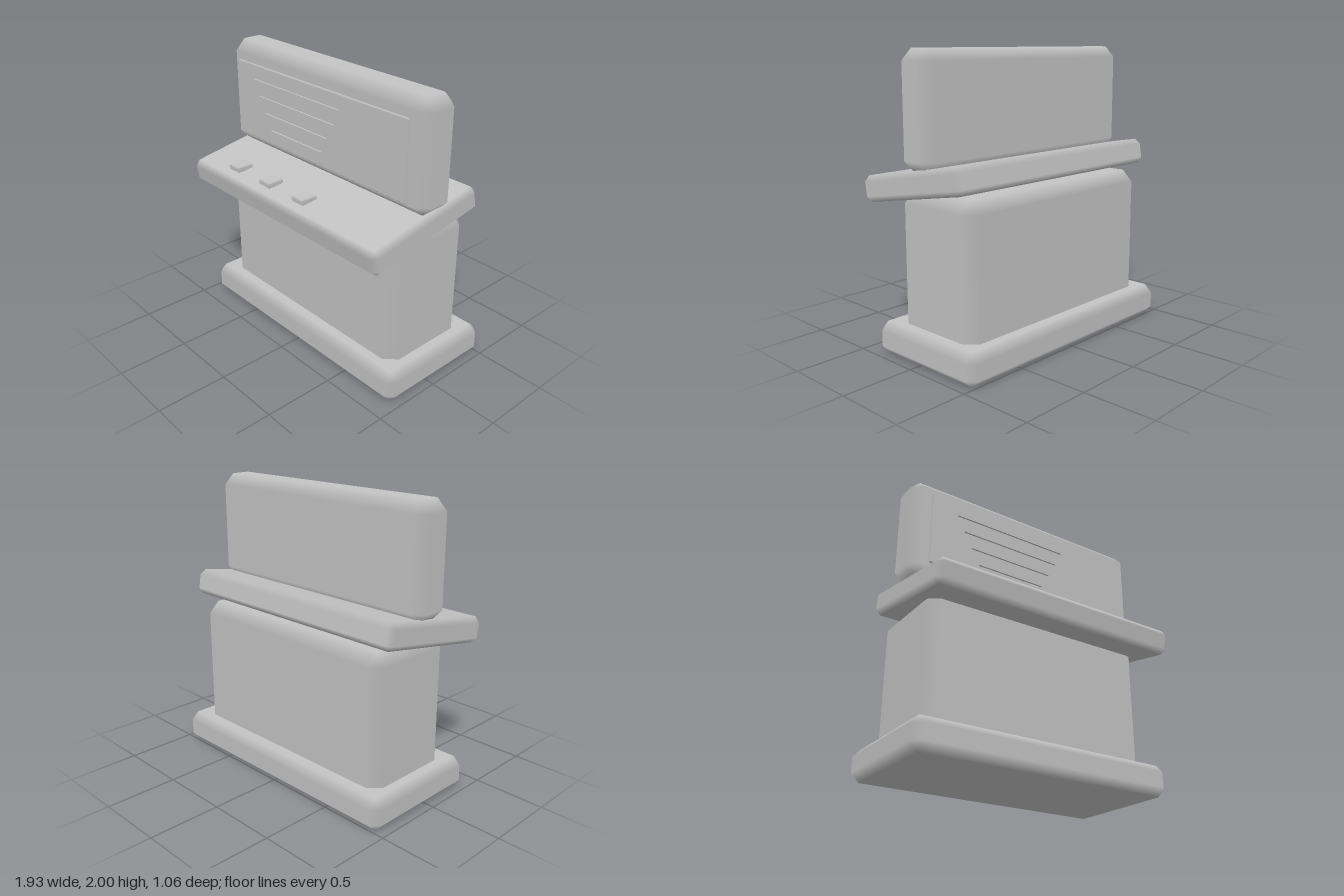
import * as THREE from 'three';
import { ConvexGeometry } from 'three/addons/geometries/ConvexGeometry.js';

// Box with chamfered edges; each chamfer blends smoothly between its flat faces
function chamferBox(w, h, d, c) {
  const half = [w / 2, h / 2, d / 2];
  const points = [];
  for (const sx of [-1, 1]) for (const sy of [-1, 1]) for (const sz of [-1, 1]) {
    for (let axis = 0; axis < 3; axis++) {
      const p = [sx, sy, sz].map((s, i) => s * (half[i] - (i === axis ? 0 : c)));
      points.push(new THREE.Vector3(...p));
    }
  }
  const geometry = new ConvexGeometry(points);
  const { position, normal } = geometry.attributes;
  for (let i = 0; i < position.count; i++) {
    const p = [position.getX(i), position.getY(i), position.getZ(i)];
    const n = p.map((v, k) => (Math.abs(v) > half[k] - 1e-5 ? Math.sign(v) : 0));
    normal.setXYZ(i, ...n);
  }
  return geometry;
}

export function createModel() {
  const model = new THREE.Group();
  model.name = 'console';
  const grey = new THREE.MeshStandardMaterial({ color: 0xc4c4c4 });
  grey.name = 'light grey';

  function add(name, geometry, x, y, z) {
    const mesh = new THREE.Mesh(geometry, grey);
    mesh.name = name;
    mesh.position.set(x, y, z);
    model.add(mesh);
    return mesh;
  }

  // Plinth and pedestal
  add('base', chamferBox(1.93, 0.22, 0.91, 0.056), 0, 0.11, -0.073);
  add('pedestal', chamferBox(1.71, 1.0, 0.68, 0.08), 0, 0.605, -0.073);

  // Sloping control deck
  const deck = add('controlDeck', chamferBox(1.875, 0.176, 0.934, 0.038), 0, 1.163, 0.06);
  deck.rotation.x = THREE.MathUtils.degToRad(10);

  // Upright display with its screen
  add('displayHousing', chamferBox(1.9, 0.755, 0.286, 0.075), 0, 1.6225, -0.006);
  add('screen', chamferBox(1.645, 0.543, 0.022, 0.008), 0, 1.607, 0.157);

  // Raised bars on the screen, shorter towards the bottom
  for (let i = 0; i < 4; i++) {
    const width = [0.88, 0.765, 0.64, 0.52][i];
    add('screenLine' + (i + 1), new THREE.BoxGeometry(width, 0.018, 0.014), -0.19, 1.77 - i * 0.111, 0.173);
  }

  // Push buttons on the deck
  [-0.535, -0.19, 0.153].forEach((x, i) => {
    add('button' + (i + 1), chamferBox(0.112, 0.038, 0.13, 0.01), x, 1.21, 0.39);
  });

  return model;
}
